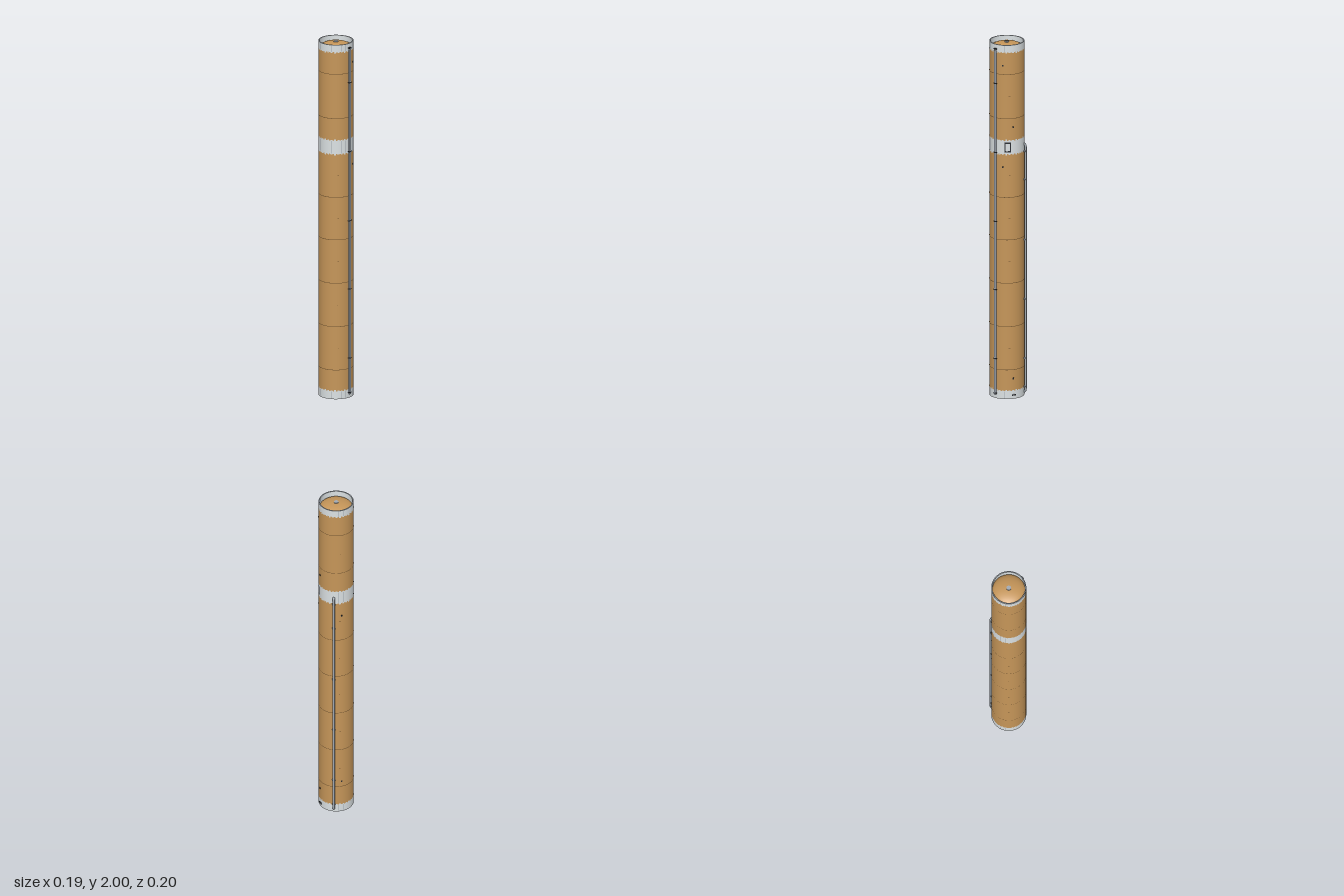
import * as THREE from 'three';

const R = 0.0945; // body radius
const SEG = 96;

const mat = (name, color, side = THREE.FrontSide) => {
  const m = new THREE.MeshStandardMaterial({ color, side });
  m.name = name;
  return m;
};

export function createModel() {
  const foam = mat('tan foam', 0xc69659, THREE.DoubleSide);
  const white = mat('pale grey panel', 0xdce2e4, THREE.DoubleSide);
  const metal = mat('grey metal', 0xa3abb3);
  const duct = mat('light blue grey duct', 0xbcc6d2);
  const dark = mat('dark fitting', 0x2b2e33, THREE.DoubleSide);
  const seam = mat('brown seam', 0x73552f, THREE.DoubleSide);

  const model = new THREE.Group();
  model.name = 'rocketCoreStage';
  const body = new THREE.Group();
  body.name = 'body';
  body.position.set(-0.003, -0, -0.005);
  model.add(body);

  const add = (name, geo, material, parent = body) => {
    const m = new THREE.Mesh(geo, material);
    m.name = name;
    parent.add(m);
    return m;
  };

  // Open cylindrical band or patch; angle 0 faces the front, positive toward +x
  const band = (name, y0, y1, r, material, a0 = 0, sweep = Math.PI * 2) => {
    const n = Math.max(2, Math.ceil(SEG * sweep / (Math.PI * 2)));
    const geo = new THREE.CylinderGeometry(r, r, y1 - y0, n, 1, true, a0, sweep);
    return add(name, geo.translate(0, (y0 + y1) / 2, 0), material);
  };

  // Small box sitting on the skin at an angle
  const fitting = (name, a, y, w, h, d, material, r = R) => {
    const m = add(name, new THREE.BoxGeometry(w, h, d), material);
    m.position.set(Math.sin(a) * r, y, Math.cos(a) * r);
    m.rotation.y = a;
    return m;
  };

  const lathe = (name, pts, material) =>
    add(name, new THREE.LatheGeometry(pts.map(p => new THREE.Vector2(...p)), SEG), material);

  // Tanks
  band('lowerTank', 0.045, 1.385, R, foam);
  band('upperTank', 1.46, 1.96, R, foam);

  // Hollow end skirts with a wall thickness
  for (const [name, y0, y1] of [['aftSkirt', 0, 0.045], ['forwardSkirt', 1.96, 2]]) {
    band(name, y0, y1, R, white);
    band(name + 'Inside', y0, y1, R - 0.006, white);
    const rim = add(name + 'Rim', new THREE.RingGeometry(R - 0.006, R, SEG), metal);
    rim.rotation.x = y0 === 0 ? Math.PI / 2 : -Math.PI / 2;
    rim.position.y = y0 === 0 ? 0 : 2;
  }
  band('intertank', 1.385, 1.46, R, white);

  // Domes with a round access cover at the pole
  for (const [name, base, dir] of [['forwardDome', 1.958, 1], ['aftDome', 0.045, -1]]) {
    const pts = [];
    for (let i = 0; i <= 16; i++) {
      const t = (i / 16) * Math.PI / 2;
      pts.push([Math.cos(t) * (R - 0.005), base + dir * Math.sin(t) * 0.034]);
    }
    if (dir < 0) pts.reverse();
    lathe(name, pts, foam);
    const cover = add(name + 'Cover', new THREE.CylinderGeometry(0.013, 0.013, 0.005, 32), metal);
    cover.position.y = base + dir * 0.0345;
  }

  // Weld seams round the tanks
  for (const y of [0.165, 0.41, 0.655, 0.9, 1.14, 1.585, 1.835]) {
    band('weldSeam', y - 0.0015, y + 0.0015, R + 0.0004, seam);
  }
  // Short seam marks between the welds
  for (const y of [0.287, 0.532, 0.777, 1.02, 1.262, 1.71]) {
    for (let k = 0; k < 4; k++) {
      band('seamMark', y - 0.001, y + 0.001, R + 0.0004, seam, Math.PI / 4 + k * Math.PI / 2, 0.1);
    }
  }

  // Toothed edges where the pale panels meet the foam
  const teeth = 32, step = Math.PI * 2 / teeth;
  for (const [y, dir] of [[0.045, 1], [1.385, -1], [1.46, 1], [1.96, -1]]) {
    for (let i = 0; i < teeth; i++) {
      const h = i % 3 === 0 ? 0.007 : 0.004;
      band('panelTooth', Math.min(y, y + dir * h), Math.max(y, y + dir * h),
        R + 0.0003, white, i * step, step * 0.55);
    }
  }

  // Vertical panel joints on the pale sections
  for (const [y0, y1] of [[0.003, 0.043], [1.388, 1.457], [1.962, 1.997]]) {
    for (const a of [-1.15, -0.55, -0.28, 0.3, 0.55, 1.25, 2.3, 2.6, 3.5, 3.8, 4.3]) {
      band('panelJoint', y0, y1, R + 0.0005, metal, a, 0.02);
    }
  }

  // Cable tunnel down the front with dark clips
  const tunnel = fitting('cableTunnel', 0, 0.993, 0.014, 1.945, 0.012, duct, R + 0.001);
  tunnel.position.x = -0.001;
  for (const y of [0.03, 0.225, 0.615, 1.0, 1.39, 1.78, 1.975]) {
    fitting('tunnelClip', 0, y, 0.017, 0.006, 0.012, dark, R + 0.0017);
  }

  // Feed line on the left rear, bending into the skin at both ends
  const fa = Math.atan2(0.091, -0.048);
  const at = (r, y) => new THREE.Vector3(Math.sin(fa) * r, y, Math.cos(fa) * r);
  const path = new THREE.CurvePath();
  const fr = R + 0.0085;
  path.add(new THREE.QuadraticBezierCurve3(at(R - 0.006, 0.018), at(fr, 0.018), at(fr, 0.038)));
  path.add(new THREE.LineCurve3(at(fr, 0.038), at(fr, 1.402)));
  path.add(new THREE.QuadraticBezierCurve3(at(fr, 1.402), at(fr, 1.422), at(R - 0.006, 1.422)));
  add('feedLine', new THREE.TubeGeometry(path, 160, 0.0065, 14, false), metal);
  for (const y of [0.05, 0.21, 0.545, 0.88, 1.22, 1.38]) {
    fitting('feedLineBracket', fa, y, 0.017, 0.006, 0.012, metal, R + 0.002);
  }

  // Access hatch: dark frame with a pale door
  const ha = 0.74;
  band('hatchFrame', 1.395, 1.45, R + 0.0008, dark, ha - 0.18, 0.36);
  band('hatchDoor', 1.402, 1.443, R + 0.0014, white, ha - 0.125, 0.25);

  // Small ports and sensors on the skin
  const ports = [
    [1.05, 1.535], [0.45, 1.885], [0.45, 1.31], [1.05, 0.115],
    [1.02, 0.022], [1.18, 0.022], [2.5, 0.2], [2.5, 1.3],
  ];
  for (const [a, y] of ports) {
    fitting('port', a, y, 0.008, 0.008, 0.005, dark, R + 0.0005);
  }

  return model;
}
